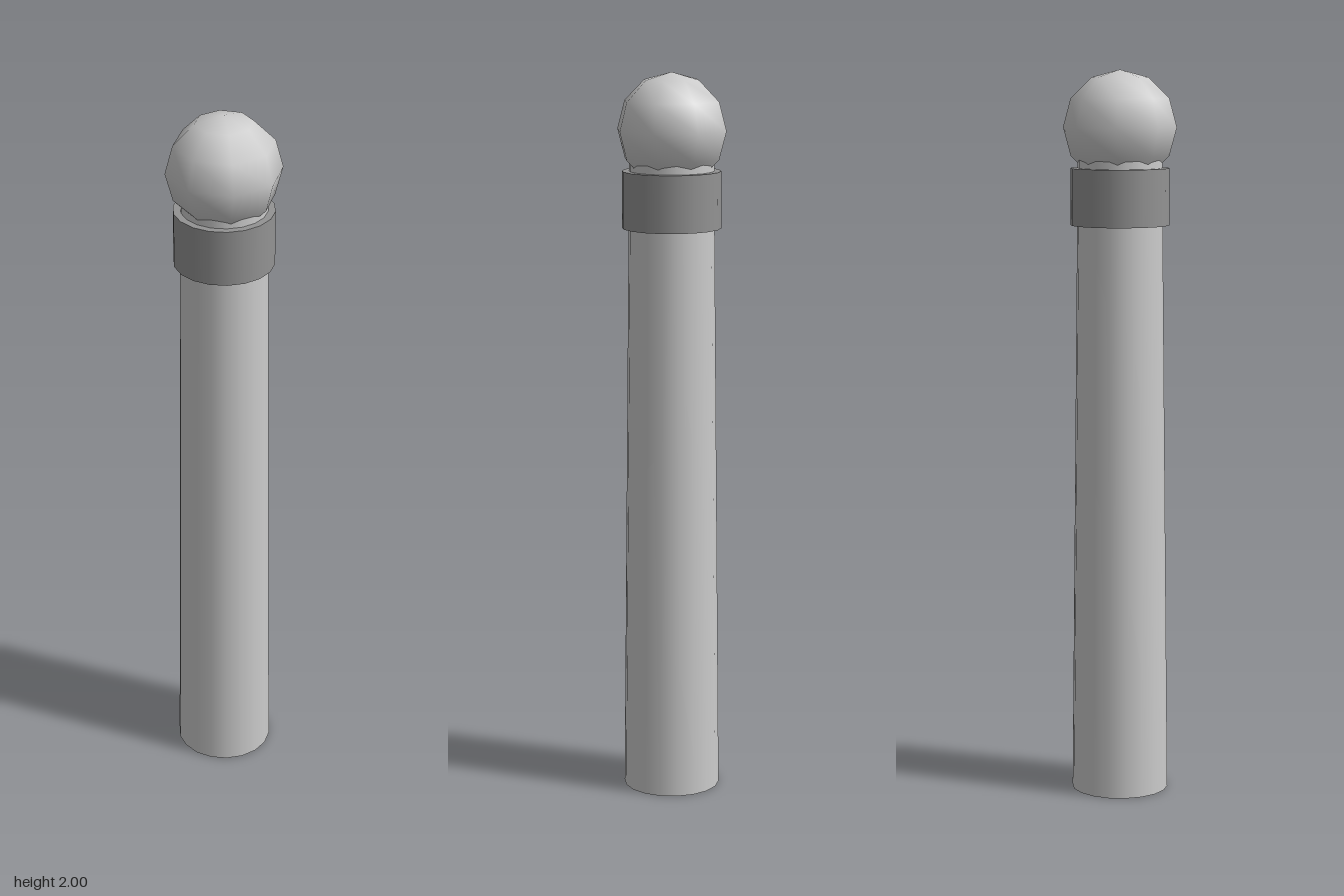
import * as THREE from 'three';

const SIDES = 18;

export function createModel() {
  const model = new THREE.Group();
  const stone = new THREE.MeshStandardMaterial({ color: 0xcccccc });
  const darkStone = new THREE.MeshStandardMaterial({ color: 0x939393 });

  function add(name, geometry, material, y) {
    const mesh = new THREE.Mesh(geometry, material);
    mesh.name = name;
    mesh.position.y = y;
    model.add(mesh);
    return mesh;
  }

  // round drum standing between two heights, with a corner on the x axis
  function drum(name, bottomRadius, topRadius, y0, y1, material) {
    const geometry = new THREE.CylinderGeometry(topRadius, bottomRadius, y1 - y0, SIDES);
    geometry.rotateY(Math.PI / 2);
    return add(name, geometry, material, (y0 + y1) / 2);
  }

  // tapered shaft, running up into the ball
  drum('post', 0.134, 0.115, 0, 1.78, stone);

  // darker band under the ball
  drum('collar', 0.135, 0.135, 1.58, 1.735, darkStone);

  // low-poly ball with smooth shading
  add('ballFinial', new THREE.SphereGeometry(0.155, 8, 6), stone, 1.845);

  return model;
}
